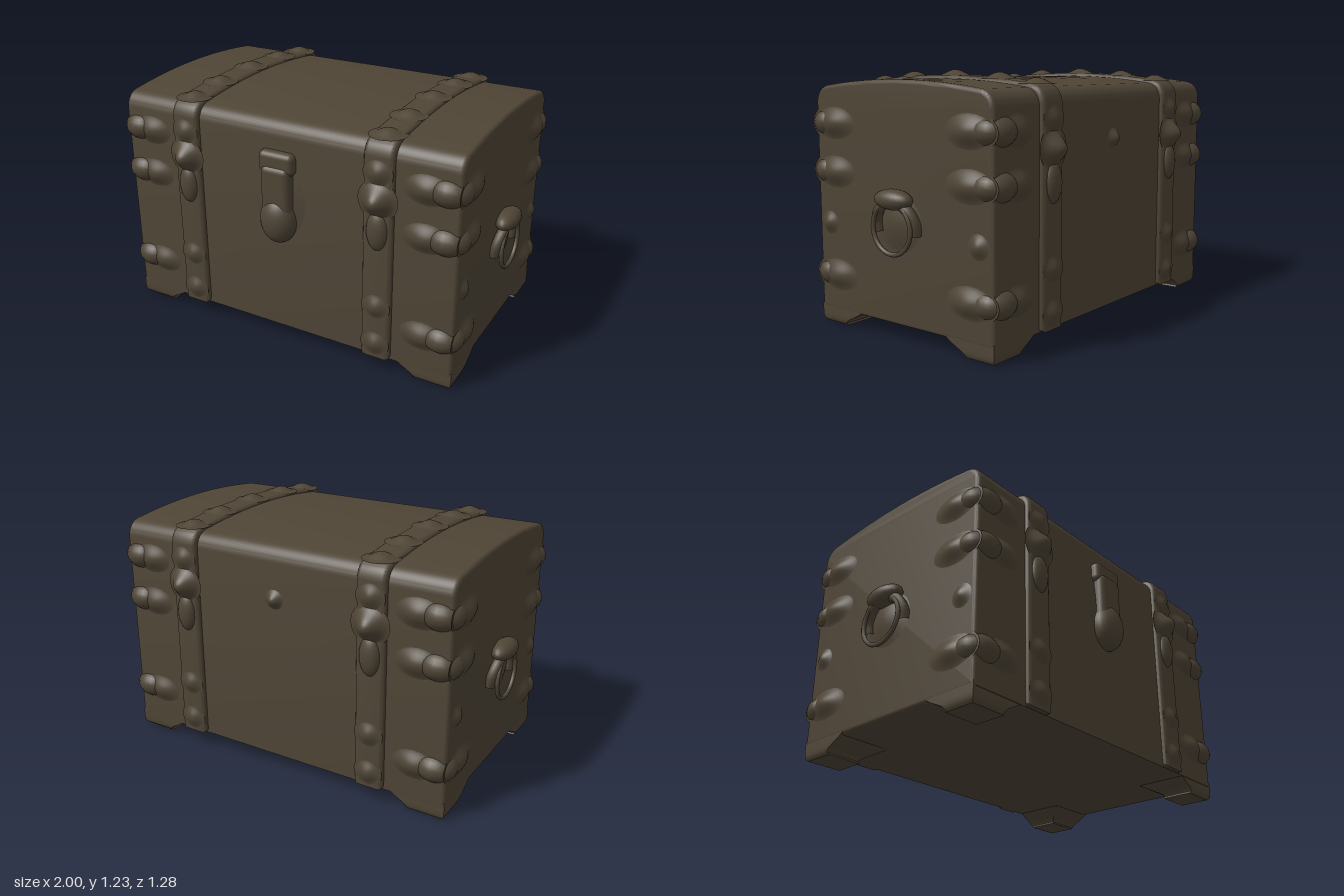
import * as THREE from 'three';
import { toCreasedNormals } from 'three/addons/utils/BufferGeometryUtils.js';
import { RoundedBoxGeometry } from 'three/addons/geometries/RoundedBoxGeometry.js';

const wood = new THREE.MeshStandardMaterial({ color: 0x4f4536 });
wood.name = 'dark brown';

const SIDES = [-1, 1];

function add(parent, name, geometry, x = 0, y = 0, z = 0) {
  const mesh = new THREE.Mesh(geometry, wood);
  mesh.name = name;
  mesh.position.set(x, y, z);
  parent.add(mesh);
  return mesh;
}

// Side outline of the chest with a shallow vaulted lid
function outline(halfDepth, bottom, top) {
  const s = new THREE.Shape();
  s.moveTo(-halfDepth, bottom);
  s.lineTo(halfDepth, bottom);
  s.lineTo(halfDepth, top - 0.11);
  s.quadraticCurveTo(halfDepth - 0.01, top - 0.045, halfDepth - 0.07, top - 0.033);
  s.quadraticCurveTo(0, top + 0.033, -halfDepth + 0.07, top - 0.033);
  s.quadraticCurveTo(-halfDepth + 0.01, top - 0.045, -halfDepth, top - 0.11);
  s.closePath();
  return s;
}

// Extrudes an outline across x, with rounded ends
function across(shape, width, bevel) {
  const g = new THREE.ExtrudeGeometry(shape, {
    depth: width - 2 * bevel, bevelEnabled: true, bevelThickness: bevel,
    bevelSize: bevel, bevelOffset: -bevel, bevelSegments: 4, curveSegments: 12,
  });
  g.translate(0, 0, -width / 2 + bevel);
  g.rotateY(Math.PI / 2);
  return toCreasedNormals(g, 0.7);
}

// Soft bell-shaped swelling, rising along +y from a round base
const bellPoints = [];
for (let i = 0; i <= 10; i++) {
  const r = 1 - i / 10;
  bellPoints.push(new THREE.Vector2(r, 0.5 + 0.5 * Math.cos(Math.PI * r)));
}
const bell = new THREE.LatheGeometry(bellPoints, 20);

// Swelling on a face: axis is the outward direction, a and b the half sizes in the face
function bump(parent, name, axis, dir, a, b, height, x, y, z) {
  const m = add(parent, name, bell, x, y, z);
  m.scale.set(a, height, b);
  if (axis === 'z') m.rotation.x = dir * Math.PI / 2;
  if (axis === 'x') m.rotation.z = -dir * Math.PI / 2;
  return m;
}

// Corner foot whose inner sides sweep inward towards the ground
function footGeometry(sx, sz) {
  const g = new THREE.BoxGeometry(1, 1, 1, 4, 10, 4);
  const p = g.attributes.position;
  for (let i = 0; i < p.count; i++) {
    const t = THREE.MathUtils.smoothstep(0.5 - p.getY(i), 0, 1);
    const round = 0.014 * Math.pow(0.5 - p.getY(i), 8);
    const w = 0.29 - 0.11 * t, d = 0.28 - 0.125 * t;
    p.setXYZ(i,
      sx * (0.908 - round - w / 2) + p.getX(i) * w,
      0.045 + p.getY(i) * 0.09,
      sz * (0.55 - round - d / 2) + p.getZ(i) * d);
  }
  return toCreasedNormals(g, 0.7);
}

function buildStrap(x) {
  const strap = new THREE.Group();
  strap.name = 'strap';
  add(strap, 'strapBand', across(outline(0.577, 0.072, 1.205), 0.15, 0.022), x);
  // Studs over the lid
  for (const z of [-0.48, -0.27, 0, 0.27, 0.48])
    bump(strap, 'lidStud', 'y', 1, 0.09, 0.09, 0.028, x, z === 0 ? 1.202 : Math.abs(z) < 0.3 ? 1.192 : 1.17, z);
  for (const s of SIDES) {
    // Studs down the front and back
    for (const y of [1.02, 0.35, 0.15])
      bump(strap, 'strapStud', 'z', s, 0.075, 0.075, 0.024, x, y, s * 0.575);
    // Buckle and its hanging tongue
    bump(strap, 'buckle', 'z', s, 0.10, 0.10, 0.068, x, 0.89, s * 0.573);
    const t = add(strap, 'buckleTongue', new THREE.SphereGeometry(1, 20, 14), x, 0.74, s * 0.565);
    t.scale.set(0.055, 0.1, 0.042);
  }
  return strap;
}

function buildHandle(s) {
  const handle = new THREE.Group();
  handle.name = 'handle';
  // Raised base around the ring
  bump(handle, 'handleBase', 'x', s, 0.19, 0.2, 0.035, s * 0.903, 0.55, 0);
  // Thick upper bracket arching over the ring
  const arch = [];
  for (let i = 0; i <= 8; i++) {
    const a = Math.PI * (-0.08 + 1.16 * i / 8);
    arch.push(new THREE.Vector3(s * (0.925 + 0.022 * Math.sin(a)), 0.535 + 0.115 * Math.sin(a), 0.122 * Math.cos(a)));
  }
  add(handle, 'handleBracket', new THREE.TubeGeometry(new THREE.CatmullRomCurve3(arch), 28, 0.026, 8));
  const knob = add(handle, 'handleKnob', new THREE.SphereGeometry(1, 20, 14), s * 0.942, 0.66, 0);
  knob.scale.set(0.056, 0.048, 0.11);
  // Slim hanging ring
  const ring = add(handle, 'handleRing', new THREE.TorusGeometry(0.118, 0.011, 8, 32), s * 0.958, 0.53, 0);
  ring.rotation.y = Math.PI / 2;
  return handle;
}

function buildLock() {
  const lock = new THREE.Group();
  lock.name = 'lock';
  bump(lock, 'lockBase', 'z', 1, 0.2, 0.26, 0.025, 0, 0.76, 0.548);
  add(lock, 'lockHinge', new RoundedBoxGeometry(0.19, 0.11, 0.07, 4, 0.03), 0, 0.96, 0.56);
  add(lock, 'lockHasp', new RoundedBoxGeometry(0.16, 0.34, 0.08, 4, 0.035), 0, 0.78, 0.568);
  const tip = add(lock, 'lockTip', new THREE.SphereGeometry(1, 24, 16), 0, 0.67, 0.565);
  tip.scale.set(0.095, 0.12, 0.075);
  return lock;
}

export function createModel() {
  const chest = new THREE.Group();
  chest.name = 'chest';

  add(chest, 'body', across(outline(0.553, 0.07, 1.19), 1.82, 0.02));

  for (const sx of SIDES) {
    chest.add(buildStrap(sx * 0.525));
    chest.add(buildHandle(sx));
    for (const sz of SIDES) {
      add(chest, 'foot', footGeometry(sx, sz));
      // Hammered corner fittings wrapping the upright edges
      for (const y of [0.98, 0.75, 0.25]) {
        const lump = add(chest, 'cornerLump', new THREE.SphereGeometry(1, 20, 14), sx * 0.84, y, sz * 0.5);
        lump.scale.set(0.1, 0.075, 0.095);
        bump(chest, 'cornerFrontSwell', 'z', sz, 0.14, 0.09, 0.034, sx * 0.75, y, sz * 0.55);
        bump(chest, 'cornerSideSwell', 'x', sx, 0.09, 0.16, 0.034, sx * 0.908, y, sz * 0.42);
      }
      bump(chest, 'cornerStud', 'x', sx, 0.07, 0.07, 0.025, sx * 0.908, 0.5, sz * 0.47);
    }
  }

  chest.add(buildLock());
  // Small stud on the middle of the back
  bump(chest, 'backStud', 'z', -1, 0.06, 0.06, 0.035, 0, 0.9, -0.55);

  return chest;
}
